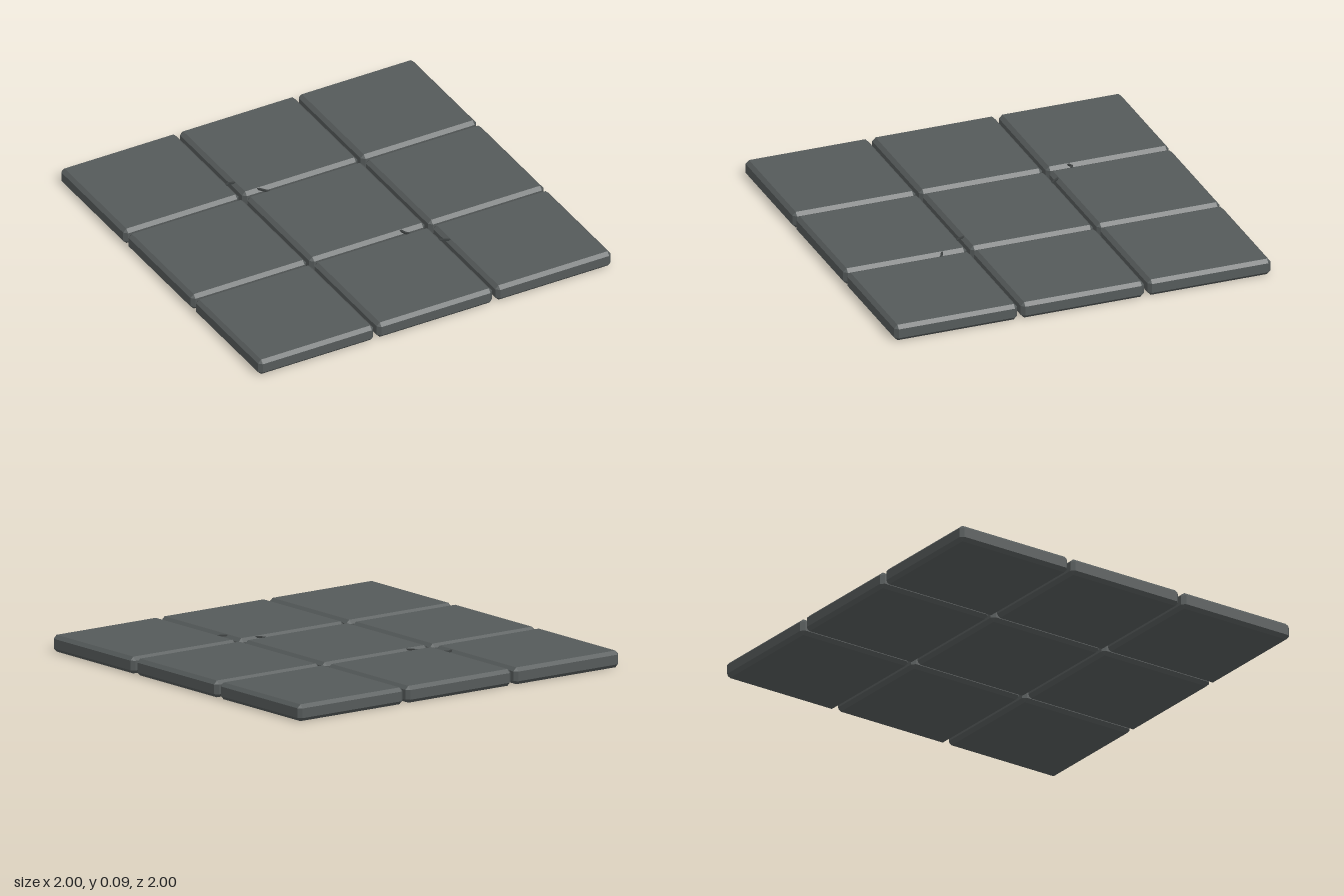
import * as THREE from 'three';
import { ConvexGeometry } from 'three/addons/geometries/ConvexGeometry.js';

const SIZE = 0.654, PITCH = 0.673, HEIGHT = 0.085, CHAMFER = 0.018;

// Box with every edge and corner cut by a flat chamfer.
function chamferedBox(w, h, d, c) {
  const points = [];
  for (const sx of [-1, 1]) for (const sy of [-1, 1]) for (const sz of [-1, 1]) {
    const x = w / 2, y = h / 2, z = d / 2;
    points.push(
      new THREE.Vector3(sx * x, sy * (y - c), sz * (z - c)),
      new THREE.Vector3(sx * (x - c), sy * y, sz * (z - c)),
      new THREE.Vector3(sx * (x - c), sy * (y - c), sz * z));
  }
  return new ConvexGeometry(points);
}

export function createModel() {
  const model = new THREE.Group();
  model.name = 'tiledFloor';
  const stone = new THREE.MeshStandardMaterial({ color: 0x555a5a });
  stone.name = 'slateGrey';
  const dark = new THREE.MeshStandardMaterial({ color: 0x3c4040 });
  dark.name = 'crackGrey';

  // Three by three paving slabs
  const slab = chamferedBox(SIZE, HEIGHT, SIZE, CHAMFER);
  for (let row = -1; row <= 1; row++) for (let col = -1; col <= 1; col++) {
    const tile = new THREE.Mesh(slab, stone);
    tile.name = 'floorTile';
    tile.position.set(col * PITCH, HEIGHT / 2, row * PITCH);
    model.add(tile);
  }

  // Thin cracks set just below the slab tops, showing across the joints
  const cracks = [
    [[-0.37, -0.46], [-0.34, -0.475], [-0.31, -0.465], [-0.25, -0.38], [-0.2, -0.31]],
    [[0.18, 0.28], [0.2, 0.34], [0.3, 0.47], [0.37, 0.505]],
  ];
  for (const path of cracks) {
    const crack = new THREE.Group();
    crack.name = 'crack';
    for (let i = 1; i < path.length; i++) {
      const [x0, z0] = path[i - 1], [x1, z1] = path[i];
      const piece = new THREE.Mesh(
        new THREE.BoxGeometry(Math.hypot(x1 - x0, z1 - z0) + 0.006, 0.008, 0.011), dark);
      piece.name = 'crackPiece';
      piece.position.set((x0 + x1) / 2, HEIGHT - 0.006, (z0 + z1) / 2);
      piece.rotation.y = -Math.atan2(z1 - z0, x1 - x0);
      crack.add(piece);
    }
    model.add(crack);
  }
  return model;
}
